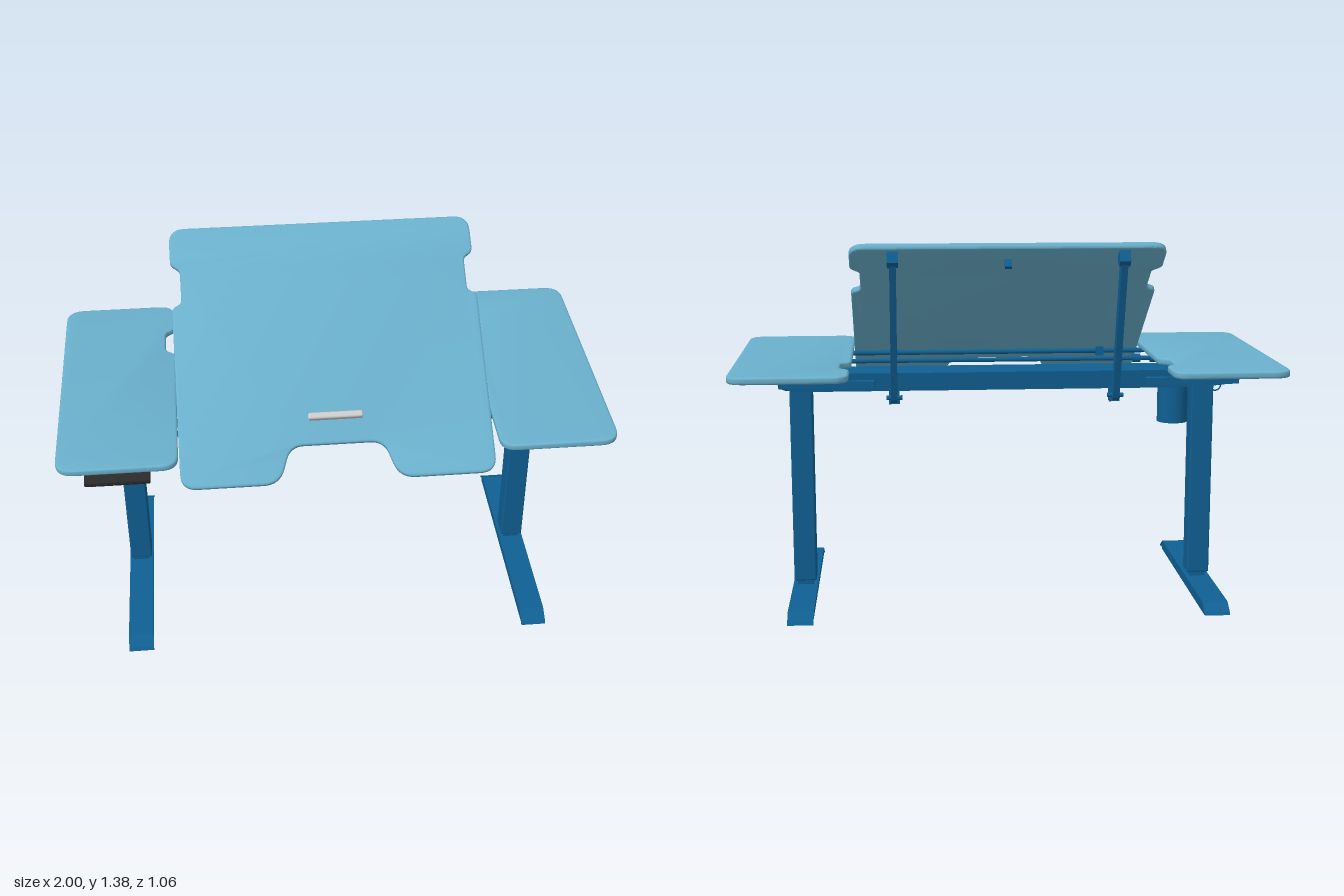
import * as THREE from 'three';
import { RoundedBoxGeometry } from 'three/addons/geometries/RoundedBoxGeometry.js';
import { toCreasedNormals } from 'three/addons/utils/BufferGeometryUtils.js';

const mat = (color) => new THREE.MeshStandardMaterial({ color, side: THREE.DoubleSide });
const topMat = mat(0x6ab0cc);
const frameMat = mat(0x0f5f92);
const blackMat = mat(0x2a2a2a);
const greyMat = mat(0xcccccc);

function add(parent, name, geometry, material, x = 0, y = 0, z = 0) {
  const mesh = new THREE.Mesh(geometry, material);
  mesh.name = name;
  mesh.position.set(x, y, z);
  parent.add(mesh);
  return mesh;
}

const box = (parent, name, w, h, d, x, y, z, m = frameMat) =>
  add(parent, name, new THREE.BoxGeometry(w, h, d), m, x, y, z);

// Polygon with rounded corners; each point is [x, y, radius]
function roundedShape(points) {
  const shape = new THREE.Shape();
  const n = points.length;
  points.forEach(([x, y, r], i) => {
    const p = new THREE.Vector2(x, y);
    const toward = (q) => new THREE.Vector2(q[0], q[1]).sub(p).setLength(r).add(p);
    const a = toward(points[(i + n - 1) % n]);
    const b = toward(points[(i + 1) % n]);
    if (i === 0) shape.moveTo(a.x, a.y);
    else shape.lineTo(a.x, a.y);
    shape.quadraticCurveTo(x, y, b.x, b.y);
  });
  return shape.closePath();
}

// Horizontal board: shape y runs toward the back, the underside lies on y = 0
function boardGeometry(points, thickness, bevel = 0.007) {
  const g = new THREE.ExtrudeGeometry(roundedShape(points), {
    depth: thickness - 2 * bevel, bevelThickness: bevel, bevelSize: bevel,
    bevelOffset: -bevel, bevelSegments: 3, curveSegments: 8,
  });
  g.translate(0, 0, bevel).rotateX(-Math.PI / 2);
  return toCreasedNormals(g, 0.6);
}

// Flat plate from a [z, y] side profile, centred on x
function plate(parent, name, profile, x, width) {
  const shape = new THREE.Shape(profile.map(([z, y]) => new THREE.Vector2(-z, y)));
  const g = new THREE.ExtrudeGeometry(shape, { depth: width, bevelEnabled: false });
  g.translate(0, 0, -width / 2).rotateY(Math.PI / 2);
  return add(parent, name, g, frameMat, x);
}

function rod(parent, name, radius, x0, x1, y, z) {
  const g = new THREE.CylinderGeometry(radius, radius, Math.abs(x1 - x0), 16).rotateZ(Math.PI / 2);
  return add(parent, name, g, frameMat, (x0 + x1) / 2, y, z);
}

function tiltedBoard() {
  const board = new THREE.Group();
  board.name = 'tiltingTop';
  const half = [
    [0.17, 0.14, 0.05], [0.215, 0.0, 0.06], [0.57, 0, 0.06], [0.57, 0.695, 0.015],
    [0.535, 0.715, 0.015], [0.535, 0.845, 0.015], [0.57, 0.87, 0.015], [0.57, 1.016, 0.06],
  ];
  const mirrored = half.map(([x, y, r]) => [-x, y, r]).reverse();
  add(board, 'drawingBoard', boardGeometry([...half, ...mirrored], 0.025), topMat);
  add(board, 'ledge', new RoundedBoxGeometry(0.2, 0.03, 0.025, 3, 0.008), greyMat, 0, 0.038, -0.24);
  box(board, 'catch', 0.025, 0.03, 0.02, 0, -0.015, -0.93);
  board.position.set(0, 0.775, 0.456);
  board.rotation.x = THREE.MathUtils.degToRad(35.1);
  return board;
}

function side(s) {
  const g = new THREE.Group();
  g.name = s > 0 ? 'leftSide' : 'rightSide';

  // Fixed side top with a notch on its inner edge
  const outline = [
    [0.572, -0.5, 0.06], [1, -0.5, 0.07], [1, 0.53, 0.07], [0.575, 0.53, 0.06],
    [0.575, 0.365, 0.015], [0.61, 0.34, 0.02], [0.61, 0.215, 0.02], [0.572, 0.19, 0.015],
  ].map(([x, y, r]) => [x * s, y, r]);
  add(g, 'sideTop', boardGeometry(outline, 0.026), topMat, 0, 0.905);

  // Support plate, its flange and the rear bar
  plate(g, 'supportPlate', [[0.41, 0.905], [0.41, 0.87], [0.04, 0.81], [-0.11, 0.81],
    [-0.42, 0.875], [-0.45, 0.905]], s * 0.82, 0.008);
  box(g, 'supportFlange', 0.04, 0.006, 0.84, s * 0.802, 0.902, -0.015);
  box(g, 'rearBar', 0.335, 0.025, 0.028, s * 0.6525, 0.889, -0.443);
  box(g, 'columnCap', 0.15, 0.008, 0.11, s * 0.75, 0.812, -0.045);

  // Telescopic column
  add(g, 'column', new RoundedBoxGeometry(0.085, 0.75, 0.088, 2, 0.006), frameMat, s * 0.767, 0.435, -0.045);
  box(g, 'innerColumn', 0.06, 0.06, 0.068, s * 0.767, 0.06, -0.045);

  // Foot: two rails under a folded cover
  for (const dx of [-0.031, 0.031]) {
    plate(g, 'footRail', [[0.445, 0], [0.457, 0.015], [0.42, 0.038], [-0.405, 0.038],
      [-0.442, 0.015], [-0.43, 0]], s * 0.767 + dx, 0.026);
  }
  plate(g, 'footCover', [[0.474, 0.006], [0.465, 0.018], [0.42, 0.043], [-0.405, 0.043],
    [-0.445, 0.018], [-0.455, 0.006], [-0.405, 0.035], [0.42, 0.035]], s * 0.767, 0.095);

  // Lifting arm with a pointed head bracket
  const x = s * 0.415;
  plate(g, 'liftArm', [[-0.155, 0.79], [-0.17, 0.772], [-0.19, 0.772], [-0.2, 0.785],
    [-0.37, 1.31], [-0.355, 1.34], [-0.32, 1.31]], x, 0.024);
  plate(g, 'armHead', [[-0.315, 1.32], [-0.345, 1.355], [-0.36, 1.35], [-0.378, 1.31],
    [-0.36, 1.29], [-0.33, 1.3]], x, 0.04);
  box(g, 'armMount', 0.04, 0.055, 0.03, x, 0.79, -0.145);
  rod(g, 'armPivot', 0.009, x - 0.03, x + 0.03, 0.79, -0.175);
  // Hinge block under the tilting top
  box(g, 'hingeBlock', 0.03, 0.035, 0.04, x, 0.892, 0.27);
  return g;
}

export function createModel() {
  const desk = new THREE.Group();
  desk.name = 'tiltTopDesk';
  desk.add(tiltedBoard(), side(1), side(-1));

  // Cross beam: a channel open below
  plate(desk, 'crossBeam', [[-0.155, 0.812], [-0.16, 0.88], [0.01, 0.88], [0.01, 0.812],
    [0.002, 0.812], [0.002, 0.872], [-0.15, 0.872], [-0.147, 0.812]], 0.053, 1.494);

  // Drive rod and hinge rod
  rod(desk, 'hingeRod', 0.01, -0.8, 0.8, 0.892, 0.27);
  rod(desk, 'driveRod', 0.009, -0.8, 0.8, 0.875, 0.17);
  for (const x of [-0.62, -0.55, 0.72]) rod(desk, 'rodCollar', 0.017, x - 0.015, x + 0.015, 0.875, 0.17);

  // Motor
  add(desk, 'motor', new THREE.CylinderGeometry(0.058, 0.058, 0.15, 32), frameMat, -0.652, 0.743, -0.077);

  // Hand control under the front edge
  const control = new THREE.Group();
  control.name = 'handControl';
  add(control, 'controlBody', new RoundedBoxGeometry(0.23, 0.022, 0.075, 2, 0.006), blackMat);
  for (let i = 0; i < 6; i++) {
    box(control, 'controlButton', 0.014, 0.008, 0.004, -0.07 + i * 0.028, 0, 0.038, blackMat);
  }
  control.position.set(-0.785, 0.889, 0.486);
  control.rotation.x = 0.25;
  desk.add(control);

  // Bag hook
  const hook = new THREE.CurvePath();
  const v = (x, y) => new THREE.Vector3(x, y, 0.05);
  hook.add(new THREE.LineCurve3(v(-0.828, 0.905), v(-0.828, 0.785)));
  hook.add(new THREE.CubicBezierCurve3(v(-0.828, 0.785), v(-0.828, 0.752), v(-0.87, 0.752), v(-0.87, 0.795)));
  add(desk, 'bagHook', new THREE.TubeGeometry(hook, 32, 0.003, 8), frameMat);

  return desk;
}
